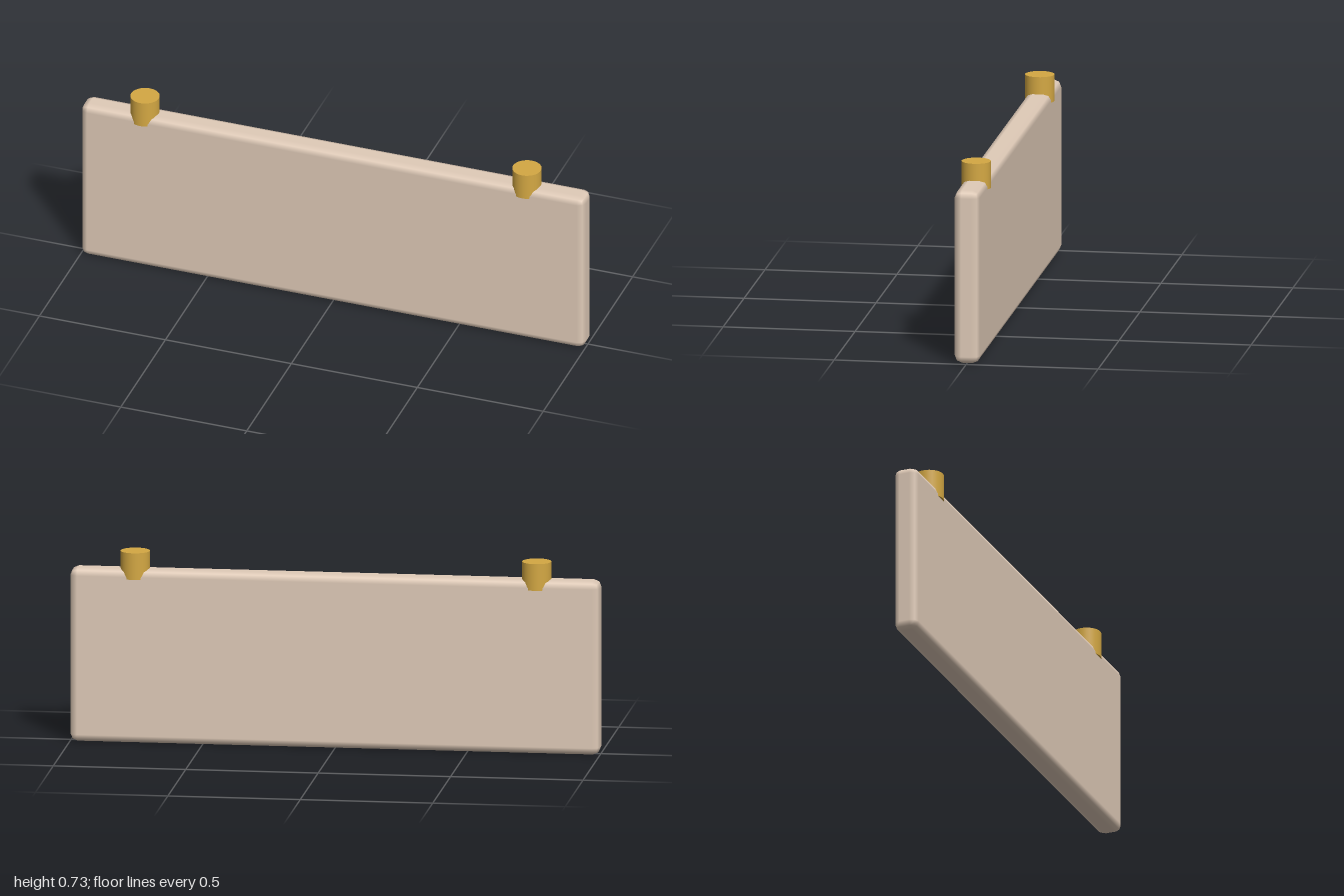
import * as THREE from 'three';
import { RoundedBoxGeometry } from 'three/addons/geometries/RoundedBoxGeometry.js';

export function createModel() {
  const model = new THREE.Group();
  model.name = 'hangingPanel';
  const panelMat = new THREE.MeshStandardMaterial({ color: 0xe0cbb8 });
  const brassMat = new THREE.MeshStandardMaterial({ color: 0xd4a843 });

  // Flat board with softly rounded edges
  const H = 0.662;
  const panel = new THREE.Mesh(new RoundedBoxGeometry(2, H, 0.095, 1, 0.028), panelMat);
  panel.name = 'panel';
  panel.position.y = H / 2;
  model.add(panel);

  // Two brass studs sunk into the top edge, slightly wider than the board
  const studGeo = new THREE.CylinderGeometry(0.055, 0.055, 0.102, 32);
  for (const [side, name] of [[1, 'leftStud'], [-1, 'rightStud']]) {
    const stud = new THREE.Mesh(studGeo, brassMat);
    stud.name = name;
    stud.position.set(side * 0.758, 0.677, 0);
    model.add(stud);
  }
  return model;
}
